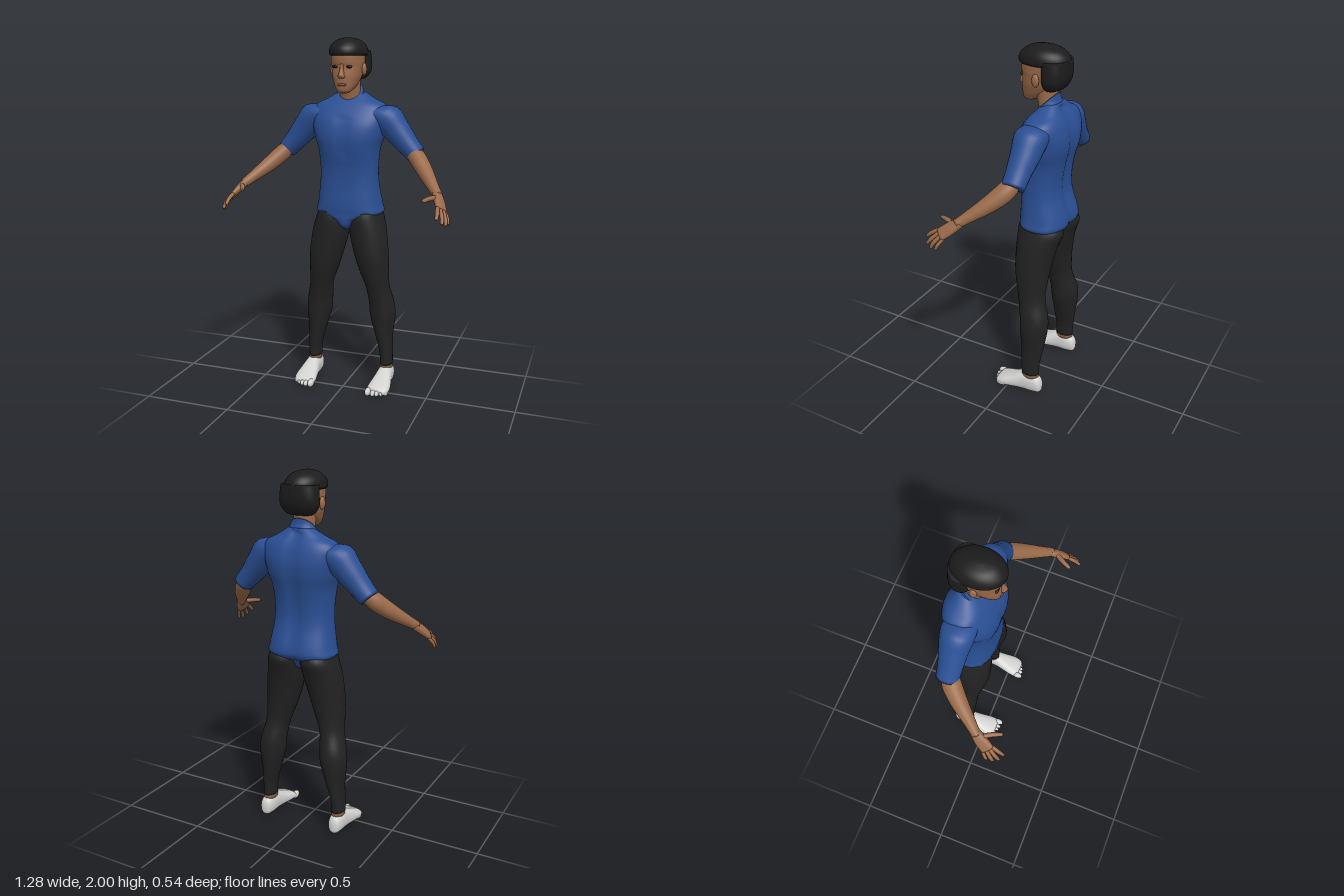
import * as THREE from 'three';

const V3 = (a) => new THREE.Vector3(...a);
const material = (name, color) => {
  const m = new THREE.MeshStandardMaterial({ color });
  m.name = name;
  return m;
};

// Catmull-Rom blend of whole cross-sections
function smoothSections(list, steps) {
  const out = [];
  for (let i = 0; i < list.length - 1; i++) {
    const [p, q, r, s] = [-1, 0, 1, 2].map((k) => list[Math.min(list.length - 1, Math.max(0, i + k))]);
    for (let j = 0; j < steps; j++) {
      const t = j / steps;
      out.push(q.map((_, k) => 0.5 * (2 * q[k] + (r[k] - p[k]) * t
        + (2 * p[k] - 5 * q[k] + 4 * r[k] - s[k]) * t * t
        + (3 * q[k] - p[k] - 3 * r[k] + s[k]) * t * t * t)));
    }
  }
  out.push(list[list.length - 1]);
  return out;
}

// Closed skin over sections [x, y, z, radiusU, radiusV]; V defaults to the axis across path and U
function loft(sections, { u = [1, 0, 0], v = null, power = 2, segs = 28, steps = 4, rule = null } = {}) {
  const rows = smoothSections(sections, steps);
  const first = rows[0], last = rows[rows.length - 1];
  const path = V3(last.slice(0, 3)).sub(V3(first.slice(0, 3))).normalize();
  const U = V3(u);
  if (!v) U.addScaledVector(path, -U.dot(path)).normalize();
  const W = v ? V3(v) : new THREE.Vector3().crossVectors(path, U);
  const flip = new THREE.Vector3().crossVectors(U, W).dot(path) < 0;
  const bend = (c) => Math.sign(c) * Math.abs(c) ** (2 / power);
  const pos = [], index = [];
  const add = (p) => { if (rule) rule(p); pos.push(p.x, p.y, p.z); };
  const tri = (a, b, c) => (flip ? index.push(a, c, b) : index.push(a, b, c));
  for (const r of rows) {
    for (let i = 0; i < segs; i++) {
      const a = (i / segs) * Math.PI * 2;
      add(V3(r.slice(0, 3)).addScaledVector(U, bend(Math.cos(a)) * Math.max(r[3], 0.001))
        .addScaledVector(W, bend(Math.sin(a)) * Math.max(r[4], 0.001)));
    }
  }
  add(V3(first.slice(0, 3)));
  add(V3(last.slice(0, 3)));
  const c0 = rows.length * segs, top = c0 - segs;
  for (let i = 0; i < segs; i++) {
    const n = (i + 1) % segs;
    for (let k = 0; k < rows.length - 1; k++) {
      const a = k * segs + i, b = k * segs + n;
      tri(a, b, b + segs);
      tri(a, b + segs, a + segs);
    }
    tri(c0, n, i);
    tri(c0 + 1, top + i, top + n);
  }
  const g = new THREE.BufferGeometry();
  g.setAttribute('position', new THREE.Float32BufferAttribute(pos, 3));
  g.setIndex(index);
  g.computeVertexNormals();
  return g;
}

// Horizontal slices [y, centreX, radiusX, frontZ, backZ]
const slices = (list, opts = {}) => loft(
  list.map(([y, x, rx, f, b]) => [x, y, (f + b) / 2, rx, (f - b) / 2]), { v: [0, 0, 1], ...opts });

const blob = (x, y, z, rx, ry, rz) =>
  new THREE.SphereGeometry(1, 18, 12).scale(rx, ry, rz).translate(x, y, z);

function mirrored(geometry) {
  const g = geometry.clone().scale(-1, 1, 1);
  const ix = g.index.array;
  for (let i = 0; i < ix.length; i += 3) [ix[i], ix[i + 1]] = [ix[i + 1], ix[i]];
  return g;
}

export function createModel() {
  const model = new THREE.Group();
  model.name = 'standingPerson';
  const skin = material('skin', 0x9a6a49);
  const shirt = material('shirtBlue', 0x2a4f94);
  const trousers = material('trouserBlack', 0x222222);
  const hair = material('hairBlack', 0x1c1c1c);
  const white = material('footWhite', 0xd2d2d0);
  const lip = material('lipBrown', 0x7a4a38);
  const eye = material('eyeDark', 0x15100e);

  const part = (name, geometry, mat) => {
    const m = new THREE.Mesh(geometry, mat);
    m.name = name;
    model.add(m);
  };
  const pair = (name, geometry, mat) => {
    part(name + 'Left', geometry, mat);
    part(name + 'Right', mirrored(geometry), mat);
  };

  // Shirt body, with a groove along the spine and breastbone
  part('shirtBody', slices([
    [0.935, 0, 0.012, -0.06, -0.15], [0.96, 0, 0.035, -0.012, -0.19], [1.0, 0, 0.08, 0, -0.215],
    [1.03, 0, 0.188, 0, -0.265], [1.08, 0, 0.185, 0.003, -0.27], [1.2, 0, 0.168, -0.003, -0.235],
    [1.3, 0, 0.165, 0.002, -0.232], [1.4, 0, 0.175, 0.022, -0.248], [1.47, 0, 0.198, 0.026, -0.265],
    [1.54, 0, 0.212, 0.012, -0.27], [1.6, 0, 0.215, -0.02, -0.258], [1.64, 0, 0.195, -0.048, -0.24],
    [1.67, 0, 0.135, -0.075, -0.22], [1.71, 0, 0.07, -0.115, -0.195],
  ], {
    power: 2.5, segs: 48, rule: (p) => {
      const middle = Math.exp(-((p.x / 0.03) ** 2));
      if (p.z < -0.2 && p.y > 1.02) p.z += 0.015 * middle;
      if (p.z > -0.04 && p.y > 1.36 && p.y < 1.58) p.z -= 0.008 * middle;
    },
  }), shirt);
  part('collar', loft([
    [0, 1.645, -0.125, 0.105, 0.065], [0, 1.675, -0.122, 0.085, 0.058], [0, 1.707, -0.122, 0.074, 0.054],
  ], { v: [0, -1, 1] }), shirt);

  // Sleeves, forearms and hands
  pair('sleeve', loft([
    [0.11, 1.6, -0.13, 0.05, 0.08], [0.2, 1.575, -0.13, 0.084, 0.09], [0.27, 1.5, -0.13, 0.075, 0.077],
    [0.33, 1.43, -0.126, 0.062, 0.066], [0.385, 1.372, -0.124, 0.053, 0.061],
  ], { u: [0.75, 0.66, 0], v: [0, 0, 1] }), shirt);
  pair('forearm', loft([
    [0.35, 1.405, -0.125, 0.04, 0.045], [0.4, 1.355, -0.095, 0.047, 0.052], [0.46, 1.292, -0.03, 0.042, 0.045],
    [0.525, 1.228, 0.055, 0.03, 0.031], [0.56, 1.195, 0.1, 0.025, 0.025],
  ], { u: [0.66, 0.75, 0] }), skin);
  pair('palm', loft([
    [0.55, 1.205, 0.085, 0.026, 0.022], [0.575, 1.17, 0.13, 0.036, 0.02], [0.599, 1.133, 0.178, 0.037, 0.014],
  ], { u: [-0.5, 0.43, 0.75], power: 2.4 }), skin);
  const fingers = [
    ['thumb', [0.56, 1.19, 0.125], [0.53, 1.19, 0.175], [0.507, 1.183, 0.225], 0.013],
    ['indexFinger', [0.58, 1.15, 0.195], [0.588, 1.128, 0.232], [0.59, 1.1, 0.264], 0.011],
    ['middleFinger', [0.592, 1.14, 0.185], [0.61, 1.108, 0.22], [0.617, 1.075, 0.247], 0.011],
    ['ringFinger', [0.604, 1.13, 0.17], [0.624, 1.095, 0.2], [0.63, 1.062, 0.218], 0.011],
    ['littleFinger', [0.612, 1.12, 0.152], [0.63, 1.09, 0.172], [0.635, 1.063, 0.185], 0.0095],
  ];
  for (const [name, base, mid, tip, r] of fingers) {
    const near = base.map((c, i) => tip[i] + (mid[i] - tip[i]) * 0.12);
    pair(name, loft([[...base, r, r], [...mid, r, r], [...near, r * 0.75, r * 0.75], [...tip, r * 0.3, r * 0.3]],
      { u: [0.2, 1, 0.3], segs: 12 }), skin);
  }

  // Legs
  pair('trouserLeg', slices([
    [1.042, 0.1, 0.083, -0.012, -0.25], [1.0, 0.1, 0.098, -0.003, -0.264], [0.92, 0.112, 0.107, -0.003, -0.236],
    [0.8, 0.134, 0.1, -0.006, -0.21], [0.7, 0.152, 0.086, -0.02, -0.198], [0.6, 0.172, 0.069, -0.042, -0.196],
    [0.5, 0.19, 0.073, -0.06, -0.224], [0.42, 0.197, 0.074, -0.065, -0.227], [0.3, 0.208, 0.051, -0.075, -0.21],
    [0.2, 0.222, 0.038, -0.082, -0.195], [0.125, 0.224, 0.037, -0.085, -0.19],
  ]), trousers);
  pair('ankle', slices([[0.14, 0.224, 0.034, -0.088, -0.187], [0.1, 0.224, 0.036, -0.083, -0.19]], { steps: 1 }), skin);

  // Feet, lofted from heel to ball, with five toes
  pair('foot', loft([
    [0.225, 0.045, -0.212, 0.012, 0.02], [0.225, 0.053, -0.198, 0.032, 0.047], [0.225, 0.061, -0.15, 0.042, 0.061],
    [0.226, 0.059, -0.095, 0.045, 0.059], [0.227, 0.045, -0.035, 0.056, 0.045], [0.226, 0.034, 0.015, 0.064, 0.034],
    [0.222, 0.026, 0.055, 0.06, 0.024], [0.22, 0.022, 0.07, 0.045, 0.014],
  ], { v: [0, 1, 0], power: 2.3 }), white);
  for (let i = 0; i < 5; i++) {
    const r = i === 0 ? 0.018 : 0.0145 - i * 0.0008;
    const x = i === 0 ? 0.176 : 0.183 + i * 0.0225;
    pair('toe' + (i + 1), blob(x, r + 0.005, 0.068 - i * i * 0.0022, r, r + 0.005, 0.032), white);
  }

  // Neck and head
  part('neck', slices([
    [1.62, 0, 0.06, -0.08, -0.18], [1.7, 0, 0.058, -0.066, -0.172], [1.8, 0, 0.06, -0.04, -0.175],
  ]), skin);
  part('head', slices([
    [1.705, 0, 0.024, 0.005, -0.04], [1.718, 0, 0.04, 0.018, -0.07], [1.74, 0, 0.056, 0.022, -0.11],
    [1.77, 0, 0.069, 0.024, -0.15], [1.8, 0, 0.079, 0.024, -0.17], [1.845, 0, 0.086, 0.02, -0.19],
    [1.87, 0, 0.088, 0.026, -0.2], [1.92, 0, 0.086, 0.024, -0.2], [1.96, 0, 0.06, -0.01, -0.17],
  ], { power: 2.2, segs: 36 }), skin);
  part('nose', slices([
    [1.86, 0, 0.009, 0.03, 0.005], [1.83, 0, 0.011, 0.034, 0.005], [1.805, 0, 0.016, 0.046, 0.005],
    [1.793, 0, 0.02, 0.044, 0.005], [1.784, 0, 0.012, 0.03, 0.005],
  ], { segs: 16 }), skin);
  part('mouth', blob(0, 1.751, 0.018, 0.026, 0.008, 0.012), lip);
  pair('eye', blob(0.038, 1.846, 0.011, 0.02, 0.008, 0.008), eye);
  pair('ear', blob(0.091, 1.832, -0.09, 0.014, 0.034, 0.02).rotateZ(0), skin);

  // Hair: cap above the brow and a fuller back down to the nape
  part('hairCap', slices([
    [1.905, 0, 0.097, 0.038, -0.232], [1.918, 0, 0.104, 0.044, -0.236], [1.945, 0, 0.1, 0.038, -0.23],
    [1.972, 0, 0.083, 0.012, -0.205], [1.99, 0, 0.055, -0.02, -0.165], [2.0, 0, 0.015, -0.07, -0.115],
  ], { segs: 36 }), hair);
  part('hairBack', slices([
    [1.775, 0, 0.06, -0.115, -0.185], [1.79, 0, 0.085, -0.108, -0.21], [1.825, 0, 0.107, -0.102, -0.228],
    [1.87, 0, 0.108, -0.1, -0.236], [1.93, 0, 0.102, -0.09, -0.234],
  ], { power: 2.4, segs: 36 }), hair);

  return model;
}
